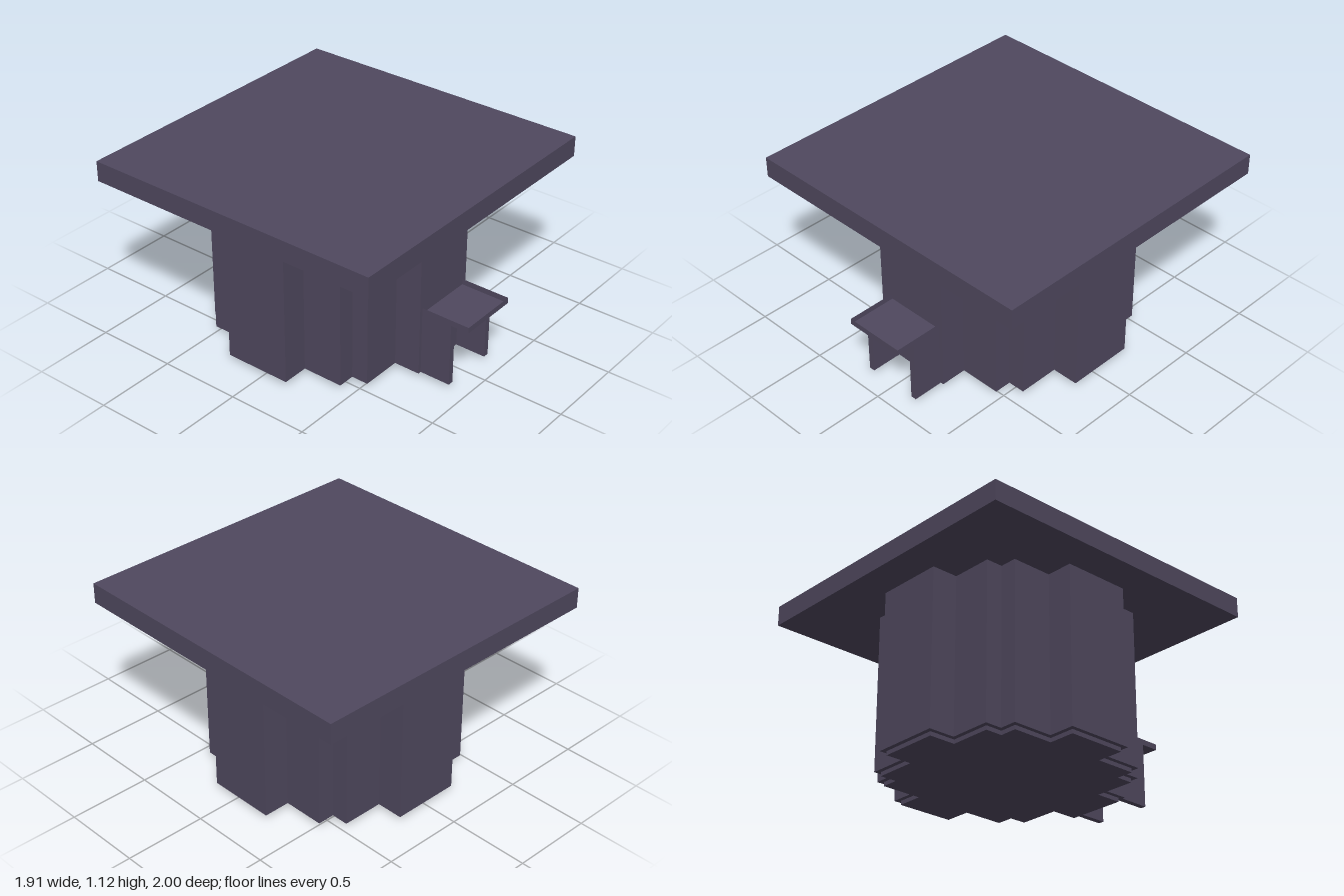
import * as THREE from 'three';

const CENTER_Z = -0.047;
const material = new THREE.MeshStandardMaterial({ color: 0x4f485e, flatShading: true, side: THREE.DoubleSide });

function add(parent, name, geometry, x = 0, y = 0, z = 0) {
  const mesh = new THREE.Mesh(geometry, material);
  mesh.name = name;
  mesh.position.set(x, y, z);
  parent.add(mesh);
  return mesh;
}

// Box given by its lower and upper corners
function addBox(parent, name, [x0, y0, z0], [x1, y1, z1]) {
  return add(parent, name, new THREE.BoxGeometry(x1 - x0, y1 - y0, z1 - z0),
    (x0 + x1) / 2, (y0 + y1) / 2, (z0 + z1) / 2);
}

// Stepped round plan, extruded upwards; inset shrinks the outline
function steppedPrism(inset, y0, y1) {
  const [a, b, c, d] = [0.21, 0.467, 0.573, 0.738].map((v) => v - inset);
  const quarter = [[d, a], [c, a], [c, b], [b, b], [b, c], [a, c], [a, d]];
  const points = [];
  for (let q = 0; q < 4; q++) {
    for (const [px, py] of quarter) {
      let [x, y] = [px, py];
      for (let i = 0; i < q; i++) [x, y] = [-y, x];
      points.push(new THREE.Vector2(x, y));
    }
  }
  const geometry = new THREE.ExtrudeGeometry(new THREE.Shape(points), { depth: y1 - y0, bevelEnabled: false });
  return geometry.rotateX(-Math.PI / 2).translate(0, y0, CENTER_Z);
}

export function createModel() {
  const model = new THREE.Group();
  model.name = 'hut';

  // Main building
  add(model, 'base', steppedPrism(0.027, 0, 0.025));
  add(model, 'walls', steppedPrism(0, 0.025, 0.995));
  addBox(model, 'roof', [-0.953, 0.995, -1], [0.953, 1.12, 0.906]);

  // Entrance porch
  const porch = new THREE.Group();
  porch.name = 'porch';
  model.add(porch);
  for (const s of [-1, 1]) {
    const [x0, x1] = [0.155 * s, 0.19 * s].sort((p, q) => p - q);
    addBox(porch, 'porchWall', [x0, 0.025, 0.69], [x1, 0.42, 0.885]);
  }

  // Porch canopy: a shallow tray with thin raised edges
  const half = 0.19, low = 0.42, high = 0.455, back = 0.69, front = 1;
  const depth = front - back, midZ = (front + back) / 2, midY = (low + high) / 2;
  add(porch, 'canopy', new THREE.PlaneGeometry(half * 2, depth).rotateX(-Math.PI / 2), 0, low, midZ);
  add(porch, 'canopyFrontEdge', new THREE.PlaneGeometry(half * 2, high - low), 0, midY, front);
  for (const s of [-1, 1]) {
    add(porch, 'canopySideEdge', new THREE.PlaneGeometry(depth, high - low).rotateY(s * Math.PI / 2), s * half, midY, midZ);
  }

  return model;
}
